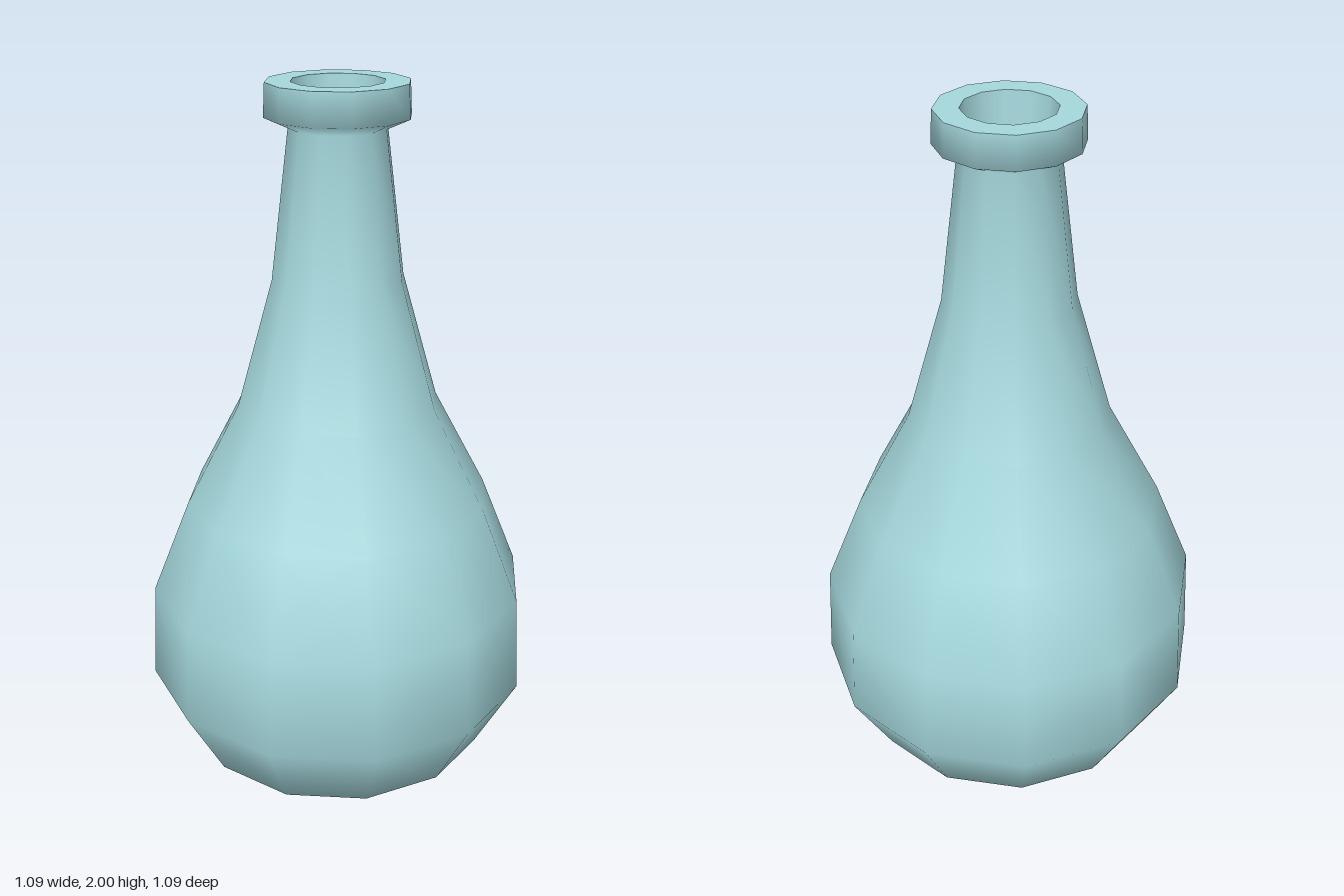
import * as THREE from 'three';

const SIDES = 12;

export function createModel() {
  const model = new THREE.Group();
  model.name = 'bottle';

  const glass = new THREE.MeshStandardMaterial({ color: 0xa5d8dd });
  glass.name = 'pale teal';

  // Each surface is a lathe; separate lathes keep the edges between them sharp.
  const addLathe = (name, profile) => {
    const points = profile.map(([r, y]) => new THREE.Vector2(r, y));
    const mesh = new THREE.Mesh(new THREE.LatheGeometry(points, SIDES), glass);
    mesh.name = name;
    model.add(mesh);
  };

  // Rounded belly, tapering neck and flared lip
  addLathe('body', [
    [0, 0], [0.245, 0], [0.43, 0.115], [0.545, 0.325], [0.53, 0.6],
    [0.425, 0.86], [0.277, 1.14], [0.178, 1.49], [0.13, 1.885],
    [0.192, 1.913], [0.188, 2],
  ]);

  // Flat ring on top of the lip
  addLathe('rim', [[0.188, 2], [0.122, 2]]);

  // Mouth of the bottle
  addLathe('mouthWall', [[0.122, 2], [0.104, 1.8]]);
  addLathe('mouthFloor', [[0.104, 1.8], [0, 1.8]]);

  return model;
}
